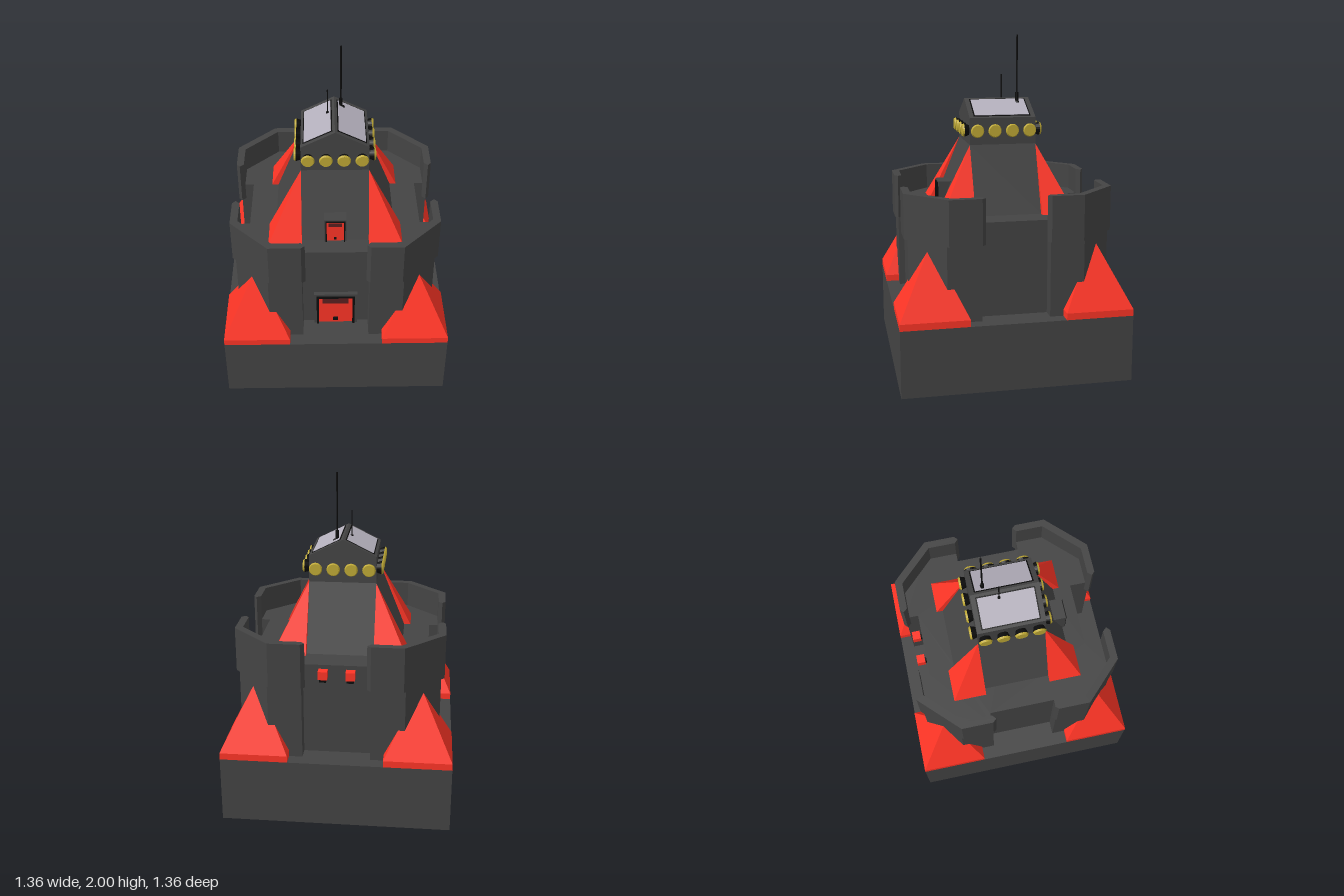
import * as THREE from 'three';
import { ConvexGeometry } from 'three/addons/geometries/ConvexGeometry.js';

const mat = (color) => new THREE.MeshStandardMaterial({ color, flatShading: true });
const STONE = mat(0x444444), RED = mat(0xff3526), BLACK = mat(0x0c0c0c);
const SLOT = mat(0x5a2020), YELLOW = mat(0xbfa935), GLASS = mat(0xb4b0bc);

function add(parent, name, geometry, material, x = 0, y = 0, z = 0) {
  const mesh = new THREE.Mesh(geometry, material);
  mesh.name = name;
  mesh.position.set(x, y, z);
  parent.add(mesh);
  return mesh;
}

// Box given by its lower and upper limits
function block(parent, name, material, x0, x1, y0, y1, z0, z1) {
  return add(parent, name, new THREE.BoxGeometry(x1 - x0, y1 - y0, z1 - z0), material,
    (x0 + x1) / 2, (y0 + y1) / 2, (z0 + z1) / 2);
}

// Solid around a few corner points
const hull = (points) => new ConvexGeometry(points.map((p) => new THREE.Vector3(...p)));

// Plan outline of [x, z] points raised from y0 to y1
function raisePlan(plan, y0, y1) {
  const shape = new THREE.Shape(plan.map(([x, z]) => new THREE.Vector2(x, -z)));
  return new THREE.ExtrudeGeometry(shape, { depth: y1 - y0, bevelEnabled: false })
    .rotateX(-Math.PI / 2).translate(0, y0, 0);
}

// Doorway: stone surround, black trim, red leaf, slot and handle
function doorway(name, w, h, back, front) {
  const g = new THREE.Group();
  g.name = name;
  const t = w * 0.12, b = w * 0.1;
  const surround = (label, m, half, top, th, z) => {
    for (const s of [-1, 1]) {
      const a = s * half, c = s * (half - th);
      block(g, label + 'Post', m, Math.min(a, c), Math.max(a, c), 0, top, back, z);
    }
    block(g, label + 'Lintel', m, -half + th, half - th, top - th, top, back, z);
  };
  surround('surround', STONE, w, h, t, front - 0.006);
  surround('trim', BLACK, w - t, h - t, b, front);
  const leafZ = front - 0.015;
  block(g, 'leaf', RED, -w + t + b, w - t - b, 0, h - t - b, back, leafZ);
  block(g, 'slot', SLOT, -w * 0.6, w * 0.6, h * 0.66, h * 0.82, leafZ - 0.01, leafZ + 0.003);
  block(g, 'handle', BLACK, -w * 0.12, w * 0.12, h * 0.1, h * 0.17, leafZ - 0.01, leafZ + 0.01);
  return g;
}

function cornerParts() {
  const g = new THREE.Group();
  // Spire at the foot, partly sunk into the keep
  block(g, 'spireSkirt', RED, 0.28, 0.68, 0.4, 0.44, 0.28, 0.68);
  add(g, 'cornerSpire', hull([[0.28, 0.44, 0.28], [0.68, 0.44, 0.28], [0.68, 0.44, 0.68],
    [0.28, 0.44, 0.68], [0.48, 0.84, 0.48]]), RED);
  // Parapet wall with pointed ends
  const parapet = [[0.178, 0.6], [0.2, 0.62], [0.39, 0.62], [0.62, 0.39], [0.62, 0.2],
    [0.6, 0.178], [0.575, 0.2], [0.575, 0.37], [0.37, 0.575], [0.2, 0.575]];
  add(g, 'parapet', raisePlan(parapet, 0.85, 1.12), STONE);
  // Red buttress leaning on the upper tower
  add(g, 'buttress', hull([[0.2, 0.96, 0.2], [0.4, 0.96, 0.2], [0.4, 0.96, 0.4],
    [0.2, 0.96, 0.4], [0.2, 1.36, 0.2]]), RED);
  return g;
}

function lampRow() {
  const g = new THREE.Group();
  for (let i = 0; i < 4; i++) {
    const x = -0.158 + i * 0.1053;
    add(g, 'lampHousing', new THREE.CylinderGeometry(0.04, 0.03, 0.03, 20).rotateX(Math.PI / 2),
      BLACK, x, 1.445, 0.214);
    add(g, 'lampLens', new THREE.CylinderGeometry(0.034, 0.04, 0.011, 20).rotateX(Math.PI / 2),
      YELLOW, x, 1.445, 0.2345);
  }
  return g;
}

export function createModel() {
  const model = new THREE.Group();
  model.name = 'fortressTower';

  block(model, 'base', STONE, -0.68, 0.68, 0, 0.4, -0.68, 0.68);

  // Keep: chamfered square with a recess in the middle of each side
  const plan = [];
  for (let k = 0; k < 4; k++) {
    const r = k === 0 ? 0.475 : 0.52, c = Math.cos(k * Math.PI / 2), s = Math.sin(k * Math.PI / 2);
    for (const [x, z] of [[-0.4, 0.6], [-0.2, 0.6], [-0.2, r], [0.2, r], [0.2, 0.6], [0.4, 0.6]])
      plan.push([x * c + z * s, z * c - x * s]);
  }
  add(model, 'keep', raisePlan(plan, 0.4, 0.96), STONE);

  // Repeated around the four corners and sides
  for (let k = 0; k < 4; k++) {
    const corner = cornerParts(), lamps = lampRow();
    corner.name = 'corner' + (k + 1);
    lamps.name = 'lampRow' + (k + 1);
    corner.rotation.y = lamps.rotation.y = k * Math.PI / 2;
    model.add(corner, lamps);
  }

  // Upper tower: two crossed solids with sloping walls
  for (const turn of [0, Math.PI / 2]) {
    const pts = [];
    for (const x of [-0.2, 0.2])
      for (const s of [-1, 1]) pts.push([x, 0.96, s * 0.36], [x, 1.36, s * 0.2]);
    add(model, 'upperTower', hull(pts), STONE).rotation.y = turn;
  }

  // Cap with gable roof and skylights
  const cap = [];
  for (const z of [-0.2, 0.2])
    cap.push([-0.2, 1.36, z], [0.2, 1.36, z], [-0.2, 1.52, z], [0.2, 1.52, z], [0, 1.62, z]);
  add(model, 'cap', hull(cap), STONE);
  for (const s of [-1, 1]) {
    const tilt = -s * Math.atan(0.5);
    add(model, 'skylightFrame', new THREE.BoxGeometry(0.19, 0.004, 0.345), BLACK, s * 0.1, 1.57, 0).rotation.z = tilt;
    add(model, 'skylight', new THREE.BoxGeometry(0.176, 0.01, 0.33), GLASS, s * 0.1, 1.57, 0).rotation.z = tilt;
  }

  // Doors
  const lower = doorway('lowerDoor', 0.133, 0.24, -0.04, 0.03);
  lower.position.set(0, 0.4, 0.475);
  const upper = doorway('upperDoor', 0.066, 0.16, -0.07, 0.02);
  upper.position.set(0, 0.96, 0.36);
  model.add(lower, upper);

  // Antennas
  const rod = (name, r, y0, y1, x, z) =>
    add(model, name, new THREE.CylinderGeometry(r, r, y1 - y0, 8), BLACK, x, (y0 + y1) / 2, z);
  rod('tallAntenna', 0.005, 1.58, 2, 0.04, -0.12);
  rod('tallAntennaFoot', 0.01, 1.58, 1.655, 0.04, -0.12);
  add(model, 'antennaMount', new THREE.SphereGeometry(0.016, 10, 8), BLACK, 0.05, 1.59, -0.12);
  rod('shortAntenna', 0.004, 1.58, 1.76, -0.04, -0.04);
  rod('shortAntennaFoot', 0.009, 1.58, 1.61, -0.04, -0.04);

  // Lanterns on the back wall
  for (const x of [-0.08, 0.08]) {
    block(model, 'lantern', RED, x - 0.027, x + 0.027, 0.89, 0.94, -0.58, -0.53);
    block(model, 'lanternUnderside', BLACK, x - 0.02, x + 0.02, 0.872, 0.89, -0.573, -0.537);
    block(model, 'lanternBracket', BLACK, x - 0.012, x + 0.012, 0.875, 0.915, -0.54, -0.51);
  }
  return model;
}
